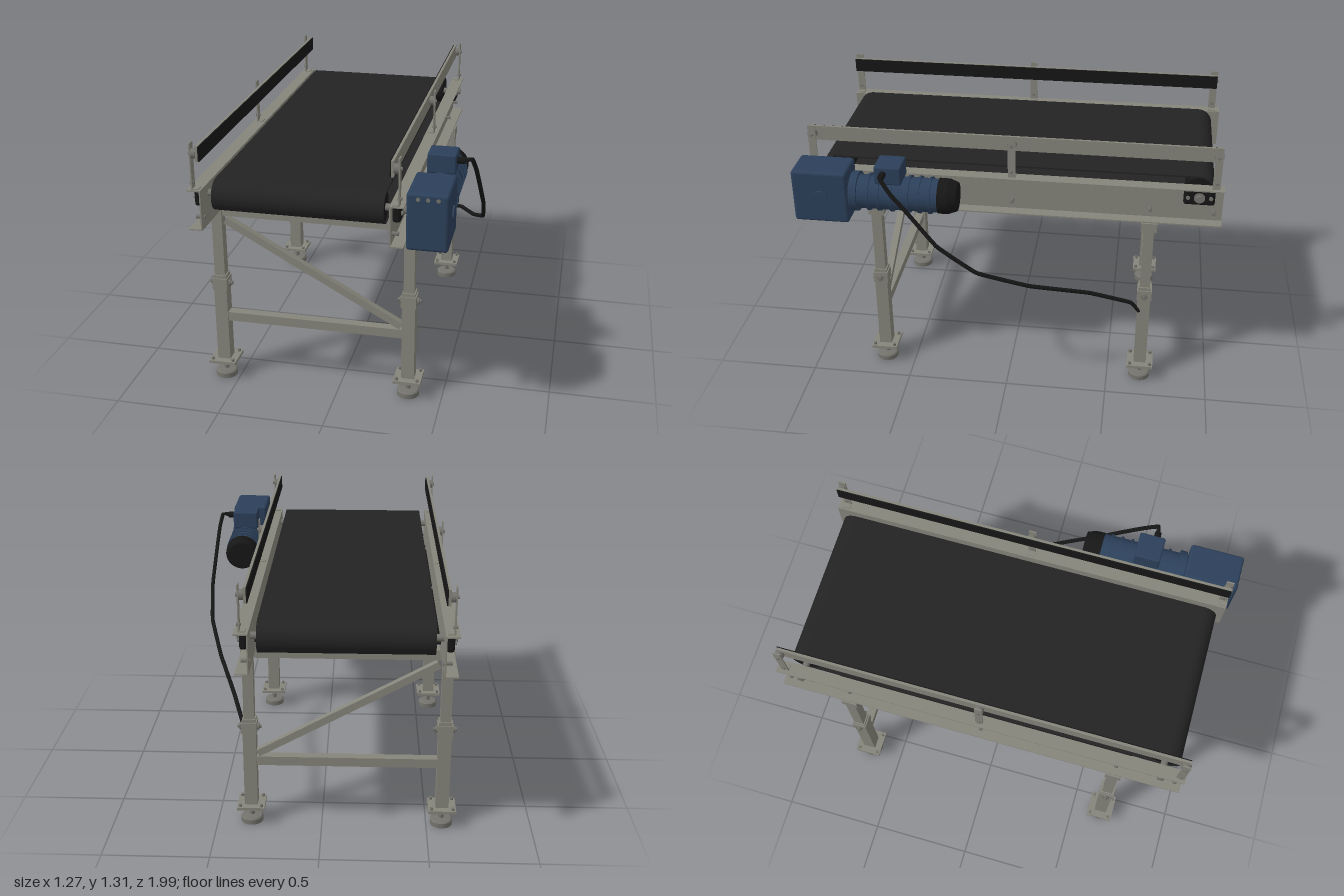
import * as THREE from 'three';
import { RoundedBoxGeometry } from 'three/addons/geometries/RoundedBoxGeometry.js';

const mat = (name, color, side = THREE.FrontSide) => {
  const m = new THREE.MeshStandardMaterial({ color, side });
  m.name = name;
  return m;
};

export function createModel() {
  const steel = mat('frame steel', 0x86857b);
  const zinc = mat('bolt metal', 0x73726c);
  const beltMat = mat('belt rubber', 0x232323, THREE.DoubleSide);
  const black = mat('black plastic', 0x161616);
  const blue = mat('motor blue', 0x2c405a);

  const model = new THREE.Group();
  model.name = 'beltConveyor';
  const CX = -0.118; // middle between the side channels

  const add = (parent, name, geo, material, x = 0, y = 0, z = 0) => {
    const m = new THREE.Mesh(geo, material);
    m.name = name;
    m.position.set(x, y, z);
    parent.add(m);
    return m;
  };
  // box given by its limits on each axis
  const box = (p, name, material, [x0, x1], [y0, y1], [z0, z1]) =>
    add(p, name, new THREE.BoxGeometry(Math.abs(x1 - x0), y1 - y0, z1 - z0), material,
      (x0 + x1) / 2, (y0 + y1) / 2, (z0 + z1) / 2);
  // cylinder lying along x
  const rodX = (p, name, material, r, x0, x1, y, z, sides = 20) =>
    add(p, name, new THREE.CylinderGeometry(r, r, Math.abs(x1 - x0), sides).rotateZ(Math.PI / 2),
      material, (x0 + x1) / 2, y, z);
  const group = (name) => {
    const g = new THREE.Group();
    g.name = name;
    model.add(g);
    return g;
  };

  // belt loop around two end rollers
  const rollerZ = [0.857, -0.887], axisY = 1.052, R = 0.073;
  const loop = (shape, r) => shape
    .absarc(rollerZ[0], axisY, r, -Math.PI / 2, Math.PI / 2, false)
    .absarc(rollerZ[1], axisY, r, Math.PI / 2, Math.PI * 1.5, false)
    .closePath();
  const beltShape = loop(new THREE.Shape(), R);
  beltShape.holes.push(loop(new THREE.Path(), R - 0.008));
  const beltGeo = new THREE.ExtrudeGeometry(beltShape, { depth: 0.762, bevelEnabled: false, curveSegments: 20 });
  beltGeo.rotateY(-Math.PI / 2); // profile x becomes z
  add(model, 'belt', beltGeo, beltMat, 0.265);
  for (const z of rollerZ) {
    rodX(model, 'roller', black, R - 0.009, -0.493, 0.261, axisY, z, 32);
    rodX(model, 'rollerShaft', zinc, 0.016, -0.59, 0.354, axisY, z);
  }
  box(model, 'sliderBed', black, [-0.533, 0.297], [0.957, 0.964], [-0.735, 0.71]);

  // both sides: channel, bearings, guide rail
  for (const s of [-1, 1]) {
    const side = group(s > 0 ? 'leftSide' : 'rightSide');
    const X = (d) => CX + s * d;
    const span = (a, b) => [X(a), X(b)];
    const length = [-1, 0.965];

    // outward-facing C channel
    box(side, 'channelWeb', steel, span(0.414, 0.42), [0.912, 1.1], length);
    box(side, 'channelTopFlange', steel, span(0.42, 0.475), [1.094, 1.1], length);
    box(side, 'channelBottomFlange', steel, span(0.42, 0.475), [0.912, 0.918], length);

    for (const z of rollerZ) {
      add(side, 'bearingHousing', new RoundedBoxGeometry(0.036, 0.08, 0.145, 3, 0.012), black, X(0.438), axisY, z);
      rodX(side, 'bearingRing', zinc, 0.026, X(0.45), X(0.46), axisY, z);
      for (const dz of [-0.053, 0.053])
        rodX(side, 'bearingBolt', zinc, 0.01, X(0.45), X(0.463), axisY, z + dz, 6);
    }
    for (const z of [-0.96, -0.665, -0.01, 0.65, 0.93])
      rodX(side, 'channelBolt', zinc, 0.009, X(0.408), X(0.45), 0.965, z, 6);

    // guide rail: steel strip with a black wear face
    const guideZ = [-0.975, 0.955];
    box(side, 'guideRail', steel, span(0.418, 0.43), [1.228, 1.299], guideZ);
    box(side, 'guideWearFace', black, span(0.413, 0.418), [1.23, 1.297], guideZ);
    for (const z of [-0.96, -0.01, 0.94]) {
      box(side, 'guidePost', steel, span(0.45, 0.456), [1.1, 1.312], [z - 0.018, z + 0.018]);
      box(side, 'guidePostFoot', steel, span(0.425, 0.456), [1.1, 1.105], [z - 0.018, z + 0.018]);
      rodX(side, 'guideSpacer', zinc, 0.022, X(0.43), X(0.45), 1.263, z, 16);
      for (const y of [1.13, 1.263])
        rodX(side, 'postBolt', zinc, 0.008, X(0.445), X(0.464), y, z, 6);
    }
  }

  // two leg frames
  for (const z of [0.65, -0.665]) {
    const frame = group(z > 0 ? 'frontLegFrame' : 'backLegFrame');
    const zs = (h) => [z - h, z + h];
    for (const s of [-1, 1]) {
      const x = CX + s * 0.455;
      const xs = (h) => [x - h, x + h];
      box(frame, 'upperLeg', steel, xs(0.025), [0.5, 0.912], zs(0.025));
      box(frame, 'lowerLeg', steel, xs(0.031), [0.1, 0.53], zs(0.031));
      box(frame, 'clampCollar', steel, xs(0.036), [0.478, 0.535], zs(0.036));
      box(frame, 'clampCollarTop', steel, xs(0.031), [0.53, 0.552], zs(0.031));
      rodX(frame, 'clampBolt', zinc, 0.009, x - 0.055, x + 0.055, 0.505, z, 12);
      for (const e of [-1, 1])
        rodX(frame, 'clampNut', zinc, 0.017, x + e * 0.034, x + e * 0.046, 0.505, z, 6);
      box(frame, 'topBracket', steel, xs(0.028), [0.865, 0.912], zs(0.038));
      // levelling foot
      box(frame, 'footPlate', steel, xs(0.066), [0.085, 0.1], zs(0.065));
      for (const a of [-1, 1]) for (const b of [-1, 1])
        add(frame, 'footPlateBolt', new THREE.CylinderGeometry(0.008, 0.008, 0.012, 6), zinc,
          x + a * 0.05, 0.106, z + b * 0.05);
      add(frame, 'footSpindle', new THREE.CylinderGeometry(0.012, 0.012, 0.07, 12), zinc, x, 0.055, z);
      const foot = [[0, 0], [0.053, 0], [0.053, 0.024], [0.047, 0.03], [0, 0.034]]
        .map(([r, y]) => new THREE.Vector2(r, y));
      const pad = new THREE.LatheGeometry(foot, 28).toNonIndexed();
      pad.computeVertexNormals();
      add(frame, 'footPad', pad, zinc, x, 0, z);
    }
    box(frame, 'topCrossBeam', steel, [-0.55, 0.314], [0.862, 0.911], zs(0.025));
    box(frame, 'lowerCrossBeam', steel, [-0.543, 0.307], [0.31, 0.355], zs(0.022));
    // diagonal brace
    const a = new THREE.Vector2(-0.535, 0.835), b = new THREE.Vector2(0.3, 0.368);
    const d = b.clone().sub(a);
    add(frame, 'diagonalBrace', new THREE.BoxGeometry(d.length(), 0.034, 0.034), steel,
      (a.x + b.x) / 2, (a.y + b.y) / 2, z).rotation.z = d.angle();
  }

  // gear motor
  const drive = group('gearMotor');
  const mx = 0.46, my = 1.048;
  add(drive, 'gearbox', new RoundedBoxGeometry(0.18, 0.258, 0.26, 3, 0.014), blue, mx, my, 0.86);
  rodX(drive, 'outputCover', blue, 0.035, 0.545, 0.557, my, 0.857, 24);
  rodX(drive, 'outputShaft', zinc, 0.02, 0.34, 0.38, my, 0.857);
  for (const x of [0.42, 0.462, 0.505])
    add(drive, 'gearboxPlug', new THREE.CylinderGeometry(0.009, 0.009, 0.01, 12).rotateX(Math.PI / 2),
      zinc, x, 1.153, 0.988);
  const alongZ = (name, material, r0, r1, z0, z1) =>
    add(drive, name, new THREE.CylinderGeometry(r1, r0, z1 - z0, 32).rotateX(Math.PI / 2),
      material, mx, my, (z0 + z1) / 2);
  alongZ('motorBody', blue, 0.08, 0.08, 0.31, 0.74);
  alongZ('motorFlange', blue, 0.094, 0.094, 0.69, 0.725);
  for (const z of [0.35, 0.4, 0.45, 0.53, 0.59, 0.64])
    alongZ('motorRib', blue, 0.088, 0.088, z - 0.006, z + 0.006);
  alongZ('fanCover', black, 0.083, 0.084, 0.265, 0.312);
  alongZ('fanCoverEnd', black, 0.068, 0.083, 0.225, 0.265);
  add(drive, 'terminalBox', new RoundedBoxGeometry(0.13, 0.09, 0.125, 2, 0.008), blue, mx, 1.166, 0.54);
  rodX(drive, 'cableGland', black, 0.016, 0.52, 0.56, 1.177, 0.56, 12);

  // power cable drooping to the back leg
  const pts = [[0.54, 1.175, 0.56], [0.59, 1.183, 0.555], [0.605, 1.12, 0.51], [0.612, 1.04, 0.44],
    [0.625, 0.87, 0.3], [0.608, 0.73, 0.12], [0.537, 0.63, -0.12], [0.44, 0.55, -0.4],
    [0.372, 0.465, -0.6], [0.362, 0.41, -0.645]].map((p) => new THREE.Vector3(...p));
  const path = new THREE.CatmullRomCurve3(pts, false, 'catmullrom', 0.12);
  add(model, 'powerCable', new THREE.TubeGeometry(path, 90, 0.01, 10), black);

  return model;
}
